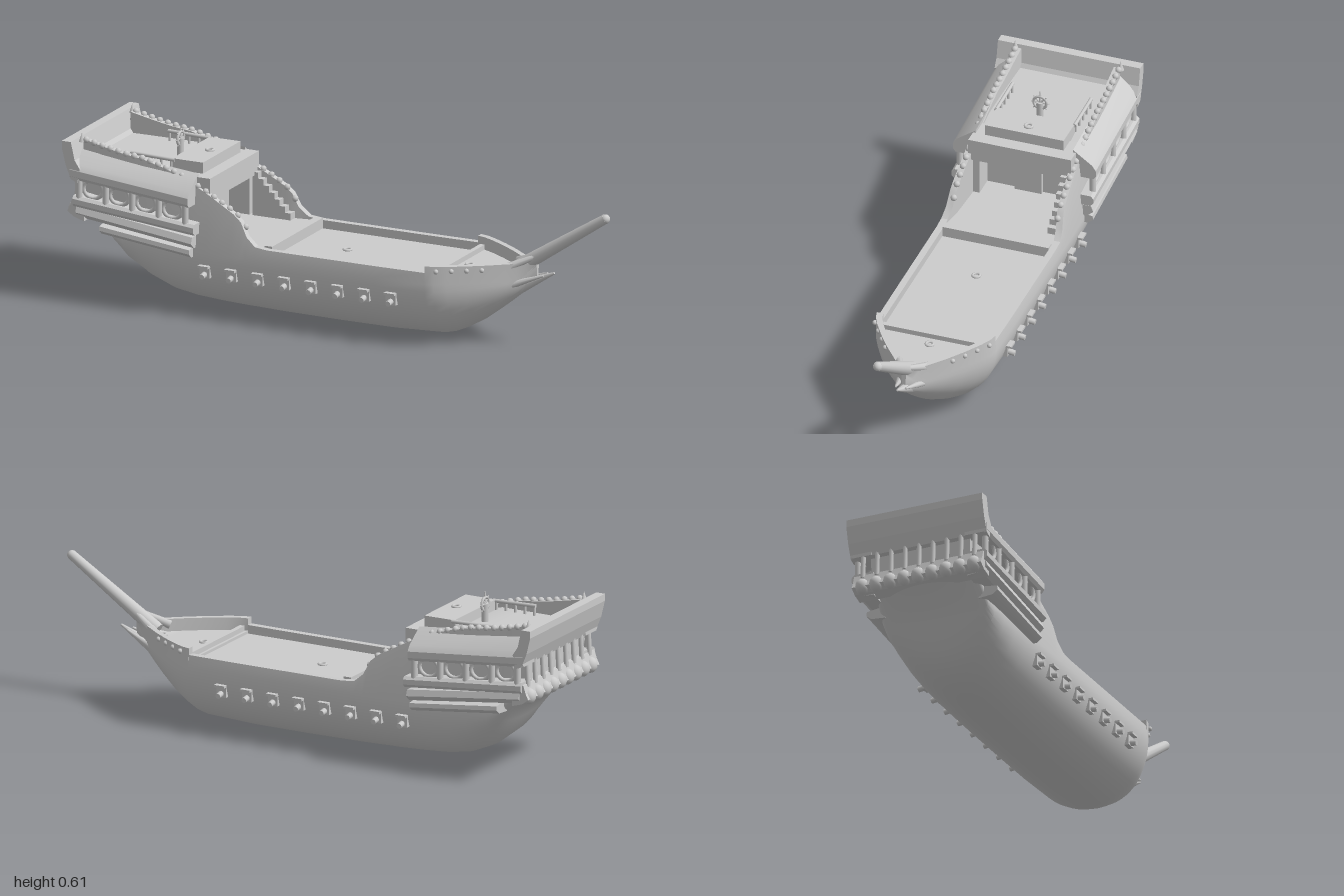
import * as THREE from 'three';
import { toCreasedNormals } from 'three/addons/utils/BufferGeometryUtils.js';

const mat = new THREE.MeshStandardMaterial({ color: 0xcccccc, side: THREE.DoubleSide });

// Skin closed (z, y) sections placed at rising x, with capped ends.
function loft(stations, crease = 0.6) {
  const area = s => s.reduce((a, p, i) => {
    const q = s[(i + 1) % s.length];
    return a + p[0] * q[1] - q[0] * p[1];
  }, 0);
  const flip = area(stations[0].pts) > 0;
  const rings = stations.map(s => {
    const p = flip ? [...s.pts].reverse() : s.pts;
    return p.map(([z, y]) => [s.x, y, z]);
  });
  const pos = [];
  const tri = (a, b, c) => pos.push(...a, ...b, ...c);
  for (let r = 0; r < rings.length - 1; r++) {
    const a = rings[r], b = rings[r + 1], n = a.length;
    for (let i = 0; i < n; i++) {
      const j = (i + 1) % n;
      tri(a[i], a[j], b[i]);
      tri(a[j], b[j], b[i]);
    }
  }
  const cap = (ring, back) => {
    const flat = ring.map(p => new THREE.Vector2(p[2], p[1]));
    for (const [i, j, k] of THREE.ShapeUtils.triangulateShape(flat, [])) {
      const [a, b, c] = [flat[i], flat[j], flat[k]];
      const ccw = (b.x - a.x) * (c.y - a.y) - (b.y - a.y) * (c.x - a.x) > 0;
      if (ccw === back) tri(ring[i], ring[j], ring[k]);
      else tri(ring[i], ring[k], ring[j]);
    }
  };
  cap(rings[0], true);
  cap(rings[rings.length - 1], false);
  const g = new THREE.BufferGeometry();
  g.setAttribute('position', new THREE.Float32BufferAttribute(pos, 3));
  return toCreasedNormals(g, crease);
}

// Hull cross-section: round bottom, leaning topsides, bulwarks and deck well.
function hullSection([x, keel, w, sheer, top, deck]) {
  const mid = Math.max(0.24, keel + 0.06), half = [];
  for (let i = 0; i <= 12; i++) {
    const a = (i / 12) * Math.PI / 2;
    half.push([w * Math.sin(a), mid - (mid - keel) * Math.cos(a)]);
  }
  const inner = Math.max(top - 0.024, top * 0.3);
  half.push([top, sheer], [inner, sheer], [inner, deck]);
  const other = half.slice(1).reverse().map(([z, y]) => [-z, y]);
  return { x, pts: [...half, ...other] };
}

export function createModel() {
  const ship = new THREE.Group();
  const add = (name, geo, x = 0, y = 0, z = 0) => {
    const m = new THREE.Mesh(geo, mat);
    m.name = name;
    m.position.set(x, y, z);
    ship.add(m);
    return m;
  };
  const box = (name, x0, x1, y0, y1, z0, z1) => add(name,
    new THREE.BoxGeometry(x1 - x0, y1 - y0, Math.abs(z1 - z0)), (x0 + x1) / 2, (y0 + y1) / 2, (z0 + z1) / 2);
  // Round bar between two points
  const bar = (name, a, b, r0, r1 = r0, sides = 8) => {
    const p = new THREE.Vector3(...a), d = new THREE.Vector3(...b).sub(p);
    const m = add(name, new THREE.CylinderGeometry(r1, r0, d.length(), sides));
    m.position.copy(p).addScaledVector(d, 0.5);
    m.quaternion.setFromUnitVectors(new THREE.Vector3(0, 1, 0), d.normalize());
    return m;
  };

  // Hull stations: x, keel y, half width, sheer y, half width at sheer, deck y
  const aft = [
    [-0.95, 0.31, 0.19, 0.58, 0.195, 0.505], [-0.88, 0.25, 0.2, 0.565, 0.197, 0.505],
    [-0.83, 0.19, 0.205, 0.555, 0.198, 0.505], [-0.79, 0.125, 0.21, 0.548, 0.199, 0.505],
    [-0.72, 0.07, 0.214, 0.54, 0.2, 0.505], [-0.64, 0.035, 0.218, 0.52, 0.2, 0.505],
    [-0.56, 0.021, 0.221, 0.495, 0.2, 0.49], [-0.56, 0.021, 0.221, 0.495, 0.2, 0.275],
    [-0.46, 0.014, 0.224, 0.445, 0.203, 0.275], [-0.36, 0.01, 0.225, 0.39, 0.208, 0.275],
    [-0.33, 0.01, 0.225, 0.365, 0.21, 0.275], [-0.305, 0.009, 0.225, 0.315, 0.215, 0.275],
    [-0.27, 0.008, 0.225, 0.285, 0.22, 0.275], [-0.22, 0.007, 0.225, 0.28, 0.22, 0.275],
  ];
  const fore = [
    [-0.22, 0.007, 0.225, 0.28, 0.22, 0.25], [0, 0.005, 0.225, 0.28, 0.22, 0.25],
    [0.2, 0.006, 0.225, 0.28, 0.22, 0.25], [0.39, 0.015, 0.222, 0.281, 0.219, 0.25],
    [0.39, 0.015, 0.222, 0.305, 0.219, 0.26], [0.42, 0.022, 0.212, 0.305, 0.212, 0.26],
    [0.46, 0.04, 0.19, 0.305, 0.192, 0.26], [0.52, 0.075, 0.15, 0.305, 0.155, 0.26],
    [0.58, 0.12, 0.107, 0.305, 0.113, 0.26], [0.63, 0.16, 0.066, 0.305, 0.073, 0.26],
    [0.66, 0.185, 0.042, 0.305, 0.049, 0.27], [0.69, 0.21, 0.022, 0.305, 0.028, 0.3],
    [0.72, 0.24, 0.008, 0.305, 0.012, 0.304],
  ];
  add('hull', loft([...aft, ...fore].map(hullSection)));

  // Deck beams and mast sockets
  box('quarterDeckBeam', -0.245, -0.215, 0.25, 0.288, -0.196, 0.196);
  box('foredeckBeam', 0.4, 0.418, 0.25, 0.278, -0.19, 0.19);
  for (const [x, y] of [[-0.02, 0.25], [0.455, 0.26], [-0.555, 0.54], [0.62, 0.262]]) {
    const ring = add('mastSocket', new THREE.TorusGeometry(0.013, 0.005, 8, 16), x, y + 0.002, 0);
    ring.rotation.x = Math.PI / 2;
  }

  // Cabin front with overhanging roof, raised hatch and arched door
  box('cabinAwning', -0.575, -0.46, 0.42, 0.5, -0.19, 0.19);
  box('cabinHatch', -0.63, -0.51, 0.49, 0.54, -0.145, 0.145);
  for (const s of [-1, 1]) box('cabinSideWall', -0.56, -0.48, 0.27, 0.43, s * 0.155, s * 0.195);
  const arch = new THREE.Shape();
  arch.moveTo(-0.05, 0);
  arch.lineTo(-0.05, 0.08);
  arch.absellipse(0, 0.08, 0.05, 0.055, Math.PI, 0, true);
  arch.lineTo(0.05, 0);
  add('cabinDoor', new THREE.ExtrudeGeometry(arch, { depth: 0.015, bevelEnabled: false }), -0.56, 0.275, 0)
    .rotation.y = Math.PI / 2;

  // Steps from the quarter deck up to the cabin roof
  for (let i = 0; i < 7; i++) {
    const x = -0.32 - i * 0.021;
    box('stair', x - 0.021, x, 0.275, 0.3 + i * 0.022, -0.19, -0.155);
  }

  // Transom crown and stern balconies, as profiles drawn across the beam
  const across = (name, pts, w) => add(name, new THREE.ExtrudeGeometry(
    new THREE.Shape(pts.map(p => new THREE.Vector2(...p))), { depth: w * 2, bevelEnabled: false }), 0, 0, -w);
  across('transomCrown', [[-0.94, 0.44], [-0.965, 0.45], [-0.985, 0.5], [-1, 0.56], [-1, 0.585],
    [-0.965, 0.585], [-0.95, 0.52], [-0.93, 0.49]], 0.263);
  across('sternBalcony', [[-0.92, 0.3], [-0.96, 0.312], [-0.985, 0.33], [-0.975, 0.35], [-0.965, 0.38], [-0.92, 0.385]], 0.25);
  for (let i = -4; i <= 4; i++) {
    add('balconyBulge', new THREE.SphereGeometry(0.026, 14, 10), -0.968, 0.335, i * 0.054).scale.set(1, 1.1, 1);
    bar('sternWindowPost', [-0.965, 0.37, i * 0.054], [-0.96, 0.46, i * 0.054], 0.009);
  }

  for (const s of [-1, 1]) {
    // Side gallery bands, dropping towards the bow
    const band = (name, x0, x1, drop, pts) => add(name, loft([0, 1].map(t => ({
      x: x0 + (x1 - x0) * t, pts: pts.map(([z, y]) => [s * z, y - drop * t]),
    }))));
    band('galleryRoof', -0.97, -0.51, 0.045,
      [[0.18, 0.45], [0.255, 0.45], [0.264, 0.462], [0.264, 0.485], [0.25, 0.505], [0.18, 0.555]]);
    band('galleryRail', -0.96, -0.49, 0.045,
      [[0.18, 0.35], [0.25, 0.35], [0.262, 0.362], [0.262, 0.38], [0.252, 0.39], [0.18, 0.39]]);
    band('galleryBase', -0.95, -0.5, 0.055,
      [[0.18, 0.305], [0.235, 0.31], [0.258, 0.33], [0.25, 0.352], [0.18, 0.352]]);
    band('galleryLowerRail', -0.86, -0.51, 0.04,
      [[0.18, 0.255], [0.235, 0.26], [0.254, 0.275], [0.252, 0.29], [0.18, 0.3]]);
    for (let i = 0; i < 5; i++) {
      const x = -0.94 + i * 0.103, d = i * 0.01;
      bar('galleryWindowPost', [x, 0.375 - d, s * 0.246], [x, 0.465 - d, s * 0.246], 0.012);
      if (i < 4) {
        const frame = add('galleryWindow', new THREE.TorusGeometry(0.033, 0.007, 8, 16), x + 0.05, 0.417 - d, s * 0.238);
        frame.scale.x = 1.15;
      }
    }

    // Carved beads along the rising bulwark
    for (let i = 0; i < 21; i++) {
      const x = -0.94 + i * 0.031;
      const k = aft.findIndex(a => a[0] > x), a = aft[k - 1], b = aft[k];
      const y = a[3] + (b[3] - a[3]) * (x - a[0]) / (b[0] - a[0]);
      add('bulwarkBead', new THREE.SphereGeometry(0.012, 8, 6), x, y, s * 0.192);
    }
    add('sternFinial', new THREE.ConeGeometry(0.012, 0.035, 8), -0.955, 0.588, s * 0.195);

    // Gun ports with lid and barrel
    for (let i = 0; i < 8; i++) {
      const x = -0.465 + i * 0.1035;
      box('gunPort', x - 0.019, x + 0.019, 0.148, 0.19, s * 0.19, s * 0.223);
      box('gunPortLid', x - 0.02, x + 0.02, 0.186, 0.194, s * 0.2, s * 0.238);
      bar('cannon', [x, 0.167, s * 0.18], [x, 0.157, s * 0.245], 0.013, 0.01, 10);
    }

    // Poop railing and bow knees
    bar('poopRail', [-0.79, 0.54, s * 0.145], [-0.62, 0.535, s * 0.145], 0.007);
    for (let i = 0; i < 5; i++) bar('poopBaluster', [-0.785 + i * 0.038, 0.5, s * 0.145], [-0.785 + i * 0.038, 0.54, s * 0.145], 0.005);
    bar('bowKnee', [0.64, 0.225, s * 0.04], [0.75, 0.265, s * 0.018], 0.014, 0.004);
    bar('bowspritBrace', [0.62, 0.285, s * 0.055], [0.73, 0.335, s * 0.008], 0.016, 0.008);
    for (let i = 0; i < 4; i++) add('bowPin', new THREE.SphereGeometry(0.009, 8, 6), 0.43 + i * 0.045, 0.288, s * (0.212 - i * 0.029));
  }

  // Beak and bowsprit
  bar('beak', [0.64, 0.205, 0], [0.785, 0.275, 0], 0.028, 0.004);
  bar('bowsprit', [0.64, 0.275, 0], [0.985, 0.5, 0], 0.027, 0.017, 12);
  add('bowspritCap', new THREE.SphereGeometry(0.017, 12, 8), 0.983, 0.498, 0);

  // Steering wheel on the poop deck
  bar('wheelPost', [-0.67, 0.5, 0], [-0.67, 0.57, 0], 0.013);
  const rim = add('wheelRim', new THREE.TorusGeometry(0.024, 0.005, 8, 20), -0.67, 0.568, 0);
  rim.rotation.y = Math.PI / 2;
  for (let i = 0; i < 8; i++) {
    const a = i * Math.PI / 4, r = i === 2 ? 0.046 : 0.034;
    bar('wheelSpoke', [-0.67, 0.568, 0], [-0.67, 0.568 + r * Math.sin(a), r * Math.cos(a)], 0.005, 0.002, 6);
  }
  return ship;
}
